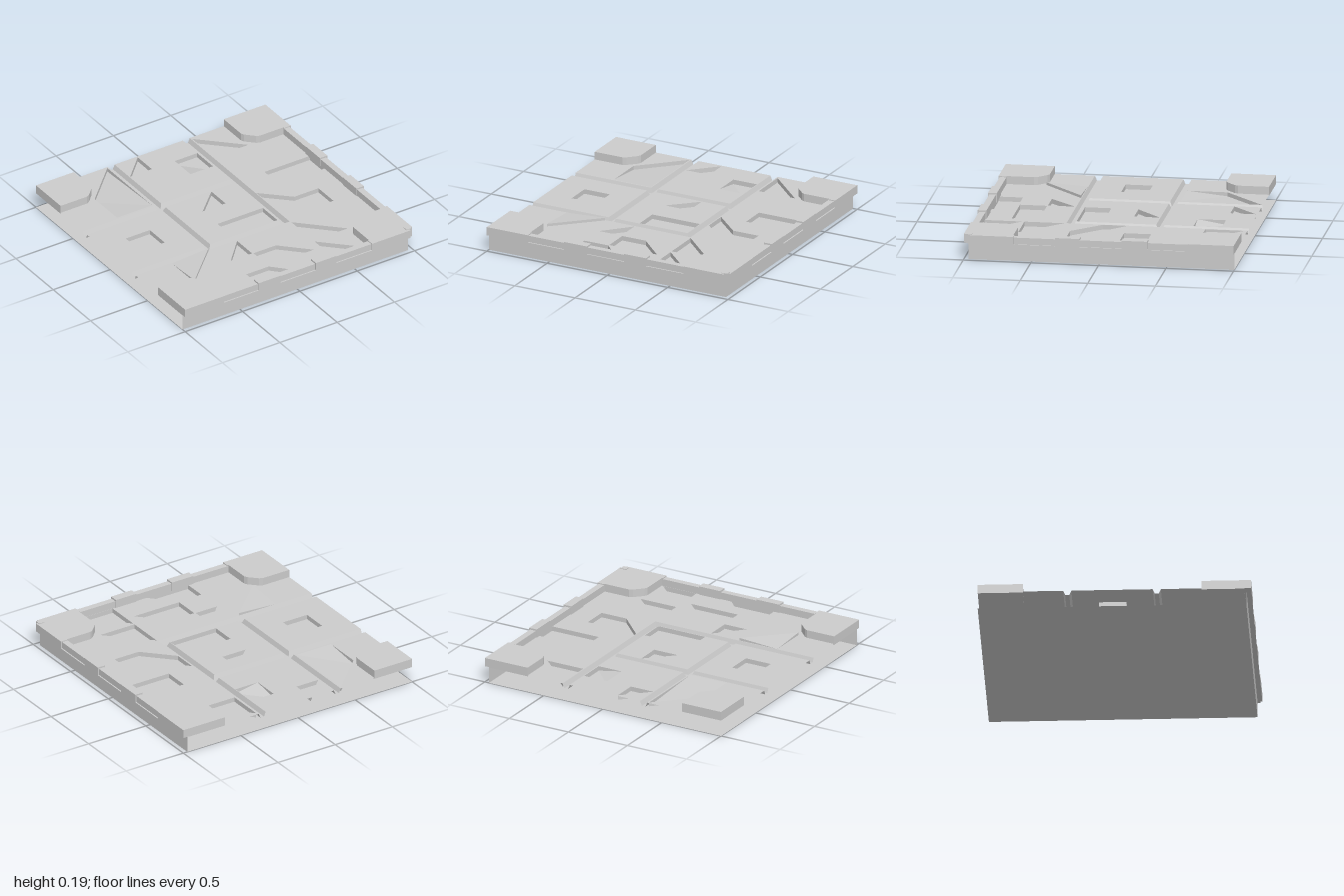
import * as THREE from 'three';

const TOP = 0.13, FLOOR = 0.095, DEPTH = 0.035, EDGE = 0.965;
const solid = new THREE.MeshStandardMaterial({ color: 0xcccccc, flatShading: true });
const sheet = new THREE.MeshStandardMaterial({ color: 0xcccccc, flatShading: true, side: THREE.DoubleSide });

// Outlines are lists of [x, z]; shapes are drawn in (x, -z) and laid flat.
const vectors = (pts) => pts.map(([x, z]) => new THREE.Vector2(x, -z));
const rect = (x0, x1, z0, z1) => [[x0, z0], [x0, z1], [x1, z1], [x1, z0]];

function add(group, name, geometry, material = solid) {
  const mesh = new THREE.Mesh(geometry, material);
  mesh.name = name;
  group.add(mesh);
  return mesh;
}

function triangles(pos) {
  const g = new THREE.BufferGeometry();
  g.setAttribute('position', new THREE.Float32BufferAttribute(pos, 3));
  g.computeVertexNormals();
  return g;
}

function quad(pos, a, b, c, d) {
  pos.push(...a, ...b, ...c, ...a, ...c, ...d);
}

// Flat sheet with cut-outs
function flat(group, name, outline, holes, y) {
  const shape = new THREE.Shape(vectors(outline));
  shape.holes = holes.map((h) => new THREE.Path(vectors(h)));
  add(group, name, new THREE.ShapeGeometry(shape).rotateX(-Math.PI / 2).translate(0, y, 0), sheet);
}

// Sunken (or raised) floor with side walls; each point is [x, z, depth]
function pit(group, name, pts) {
  const pos = [];
  const low = pts.map(([x, z, d = DEPTH]) => [x, TOP - d, z]);
  const high = pts.map(([x, z]) => [x, TOP, z]);
  for (const face of THREE.ShapeUtils.triangulateShape(vectors(pts), []))
    for (const i of face) pos.push(...low[i]);
  pts.forEach((_, i) => {
    const j = (i + 1) % pts.length;
    quad(pos, high[i], high[j], low[j], low[i]);
  });
  add(group, name, triangles(pos), sheet);
}

// Panel with its recesses
function panel(group, name, outline, pits) {
  flat(group, name, outline, pits, TOP);
  pits.forEach((p) => pit(group, name + 'Recess', p));
}

// Sloped groove side from a panel edge down to the groove floor
function bevel(group, a, b, a2, b2) {
  const pos = [];
  quad(pos, [a[0], TOP, a[1]], [b[0], TOP, b[1]], [b2[0], FLOOR, b2[1]], [a2[0], FLOOR, a2[1]]);
  add(group, 'grooveBevel', triangles(pos), sheet);
}

function block(group, name, x0, x1, y0, y1, z0, z1) {
  add(group, name, new THREE.BoxGeometry(x1 - x0, y1 - y0, z1 - z0))
    .position.set((x0 + x1) / 2, (y0 + y1) / 2, (z0 + z1) / 2);
}

function prism(group, name, outline, y0, y1) {
  const g = new THREE.ExtrudeGeometry(new THREE.Shape(vectors(outline)), { depth: y1 - y0, bevelEnabled: false });
  add(group, name, g.rotateX(-Math.PI / 2).translate(0, y0, 0));
}

export function createModel() {
  const model = new THREE.Group();
  model.name = 'floorTile';

  // Underside and the two closed base walls; the back and left-hand sides stay open
  flat(model, 'underside', rect(-1, EDGE, -1, EDGE), [], 0);
  const walls = [];
  quad(walls, [-1, 0, EDGE], [EDGE, 0, EDGE], [EDGE, TOP, EDGE], [-1, TOP, EDGE]);
  quad(walls, [EDGE, 0, EDGE], [EDGE, 0, -1], [EDGE, TOP, -1], [EDGE, TOP, EDGE]);
  add(model, 'baseWalls', triangles(walls), sheet);

  // Four rectangular panels
  const spans = [[-1, -0.375], [-0.315, 0.28]];
  const recesses = {
    '00': [[[-0.69, -0.69, 0.03], [-0.69, -0.39, 0], [-0.385, -0.39, 0], [-0.385, -0.99, 0.03]]],
    '10': [
      [[-0.31, -0.8], [-0.12, -0.8], [-0.12, -0.99]],
      [[0.08, -0.8, 0.035], [0.08, -0.59, 0], [0.275, -0.59, 0.035], [0.275, -0.8, 0.035]],
    ],
    '01': [rect(-0.79, -0.58, -0.12, 0.08)],
    '11': [
      [[-0.12, -0.12], [0.08, -0.12], [0.08, -0.31]],
      rect(-0.12, 0.275, 0.08, 0.275),
    ],
  };
  const b = 0.015;
  spans.forEach(([x0, x1], i) => spans.forEach(([z0, z1], j) => {
    panel(model, 'panel', rect(x0, x1, z0, z1), recesses[`${i}${j}`]);
    const ox = i ? x0 - b : x0, oz = j ? z0 - b : z0;
    bevel(model, [x1, z0], [x1, z1], [x1 + b, oz], [x1 + b, z1 + b]);
    bevel(model, [x0, z1], [x1, z1], [ox, z1 + b], [x1 + b, z1 + b]);
    if (i) bevel(model, [x0, z0], [x0, z1], [ox, oz], [ox, z1 + b]);
    if (j) bevel(model, [x0, z0], [x1, z0], [ox, oz], [x1 + b, oz]);
  }));

  // L-shaped panel along the front and the +x side
  panel(model, 'cornerPanel',
    [[0.34, -1], [0.34, 0.34], [-1, 0.34], [-1, EDGE], [EDGE, EDGE], [EDGE, -1]], [
      [[0.35, -0.98], [0.35, -0.69], [0.65, -0.69]],
      rect(0.55, 0.945, -0.32, -0.12),
      [[0.345, -0.115], [0.345, 0.07], [0.55, 0.28], [0.76, 0.28], [0.76, 0.08], [0.55, 0.08]],
      [[0.345, 0.355], [0.345, 0.65], [0.645, 0.65]],
      [[0.345, 0.665], [0.345, 0.94], [0.625, 0.94]],
      [[-0.31, 0.55], [-0.125, 0.55], [-0.125, 0.35]],
      [[-0.115, 0.555], [-0.115, 0.755], [0.28, 0.755], [0.08, 0.555]],
      [[-0.315, 0.765], [-0.315, 0.945], [0.05, 0.945], [-0.12, 0.765]],
    ]);
  bevel(model, [0.34, -1], [0.34, 0.34], [0.325, -1], [0.325, 0.325]);
  bevel(model, [-1, 0.34], [0.34, 0.34], [-1, 0.325], [0.325, 0.325]);

  // Raised wedge on the front row
  pit(model, 'wedge', [[-0.69, 0.345, 0], [-0.69, 0.65, -0.02], [-0.37, 0.345, -0.02]]);

  // Groove floors
  for (const [a, c] of [[-0.36, -0.33], [0.295, 0.325]]) {
    flat(model, 'grooveFloor', rect(a, c, -1, 0.325), [], FLOOR);
    flat(model, 'grooveFloor', rect(-1, 0.325, a, c), [], FLOOR);
  }

  // Corner blocks with a softened inner corner
  for (const sx of [-1, 1]) for (const sz of [-1, 1]) {
    const ex = sx < 0 ? -1 : 0.95, ez = sz < 0 ? -1 : 0.95;
    const ix = sx < 0 ? -0.67 : 0.637, iz = sz < 0 ? -0.67 : 0.637;
    const at = (u, v) => [ix + sx * u, iz + sz * v];
    prism(model, 'cornerBlock', [
      [ex, ez], [ix, ez], at(0, 0.1), at(0.012, 0.075), at(0.075, 0.012), at(0.1, 0), [ex, iz],
    ], 0.122, 0.19);
  }

  // Overhanging rim and its clips; the second pass mirrors the front onto the +x side
  const clips = [[-0.36, -0.17], [0.14, 0.32]];
  const runs = [[-1, -0.66, 1, 0.19], [-0.66, -0.36, 0.99, 0.183], [-0.17, 0.14, 0.99, 0.183],
    [0.32, 0.63, 0.99, 0.183], [0.63, 0.965, 1, 0.19]];
  for (const side of [false, true]) {
    const bar = (name, s0, s1, y0, y1, t0, t1) => side
      ? block(model, name, t0, t1, y0, y1, s0, s1)
      : block(model, name, s0, s1, y0, y1, t0, t1);
    for (const [s0, s1, out, y] of runs) bar('rim', s0, s1, 0.125, y, 0.942, out);
    for (const [s0, s1] of clips) bar('rimClip', s0, s1, 0.125, 0.195, 0.935, 1);
    for (const [s0, s1] of [[-0.66, -0.36], [-0.17, 0.14], [0.32, 0.63]])
      bar('rimLip', s0, s1, 0.125, 0.133, 0.96, 1);
  }
  block(model, 'rimCorner', 0.94, 0.985, 0.125, 0.195, 0.94, 0.985);
  return model;
}
